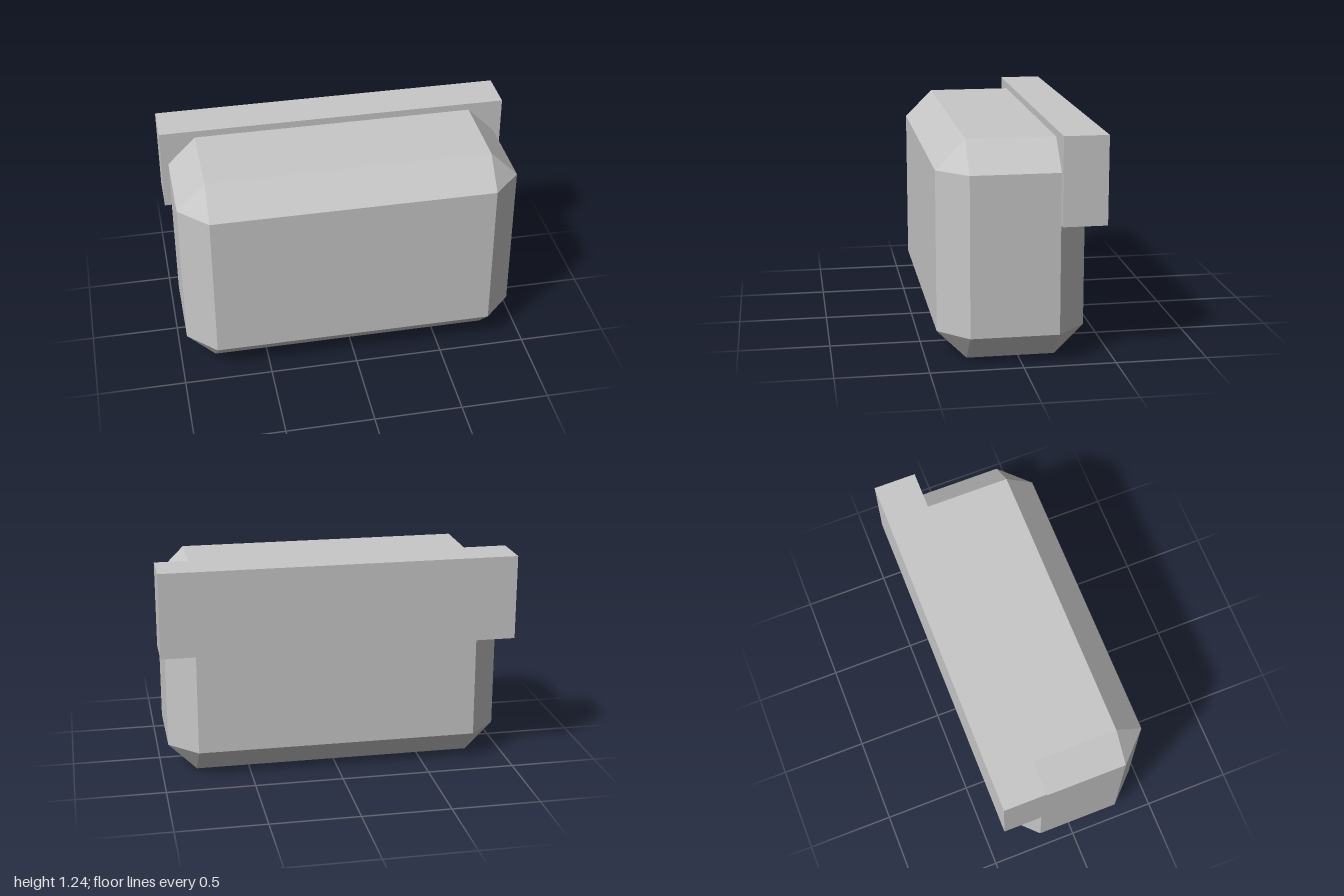
import * as THREE from 'three';
import { ConvexGeometry } from 'three/addons/geometries/ConvexGeometry.js';

// Box with flat bevels on every edge and triangular corners
function chamferedBox(w, h, d, c) {
  const points = [];
  for (const sx of [-1, 1]) for (const sy of [-1, 1]) for (const sz of [-1, 1]) {
    const x = w / 2, y = h / 2, z = d / 2;
    points.push(
      new THREE.Vector3(sx * x, sy * (y - c), sz * (z - c)),
      new THREE.Vector3(sx * (x - c), sy * y, sz * (z - c)),
      new THREE.Vector3(sx * (x - c), sy * (y - c), sz * z),
    );
  }
  return new ConvexGeometry(points);
}

export function createModel() {
  const model = new THREE.Group();
  const grey = new THREE.MeshStandardMaterial({ color: 0xc8c8c8, flatShading: true });
  grey.name = 'light grey';

  const add = (name, geometry, x, y, z) => {
    const mesh = new THREE.Mesh(geometry, grey);
    mesh.name = name;
    mesh.position.set(x, y, z);
    model.add(mesh);
  };

  // Bevelled main body
  add('body', chamferedBox(1.92, 1.2, 0.8, 0.16), 0, 0.6, 0.04);
  // Plain bar across the upper back
  add('rearBar', new THREE.BoxGeometry(2, 0.48, 0.24), 0, 1.0, -0.32);

  return model;
}
